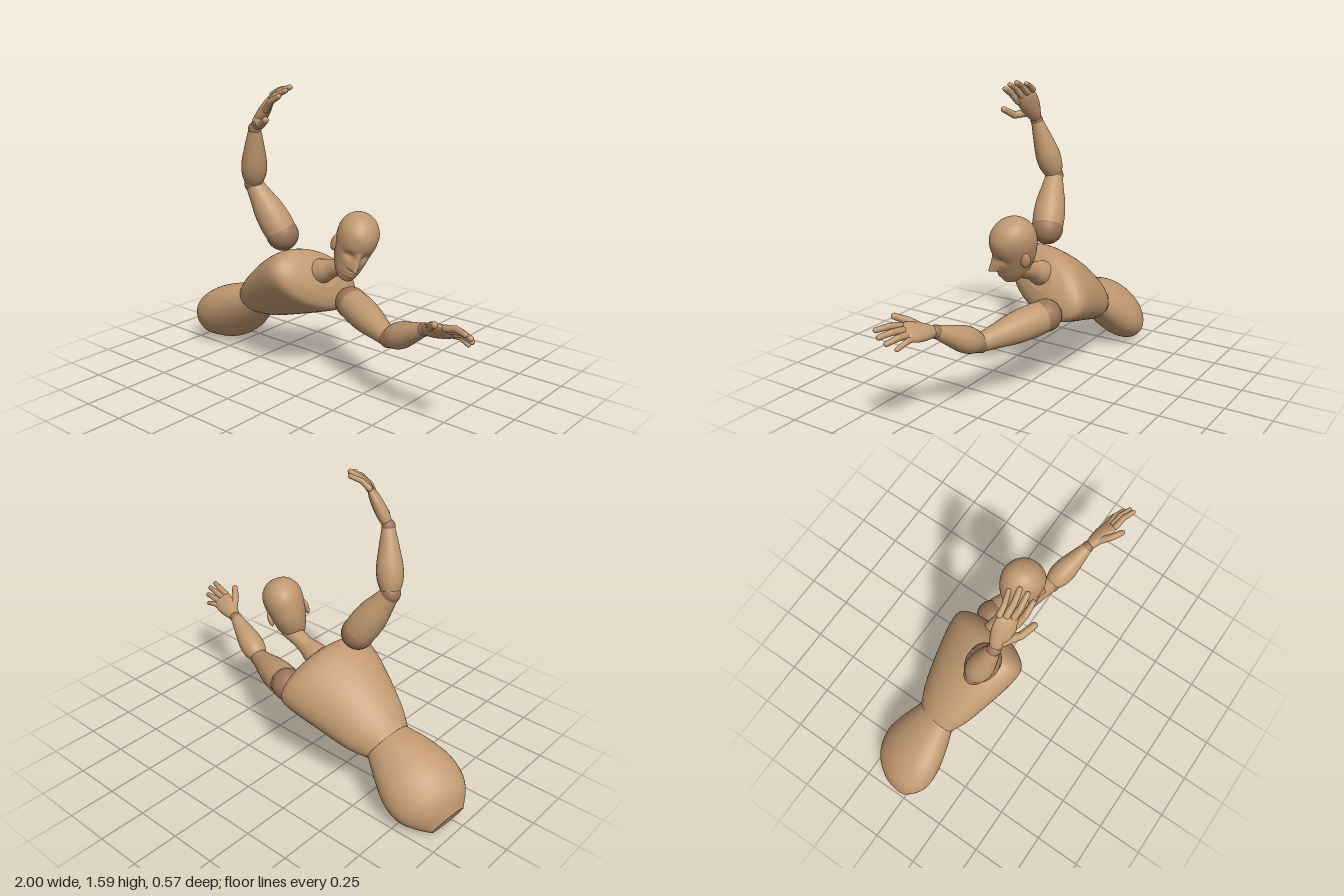
import * as THREE from 'three';

const wood = new THREE.MeshStandardMaterial({ color: 0xc09870 });
wood.name = 'light wood';
const jointWood = new THREE.MeshStandardMaterial({ color: 0x9c7458 });
jointWood.name = 'joint wood';

const V = (a) => new THREE.Vector3(...a);

function part(parent, name, geometry, material = wood) {
  const mesh = new THREE.Mesh(geometry, material);
  mesh.name = name;
  parent.add(mesh);
  return mesh;
}

function ball(parent, name, at, r, material = jointWood) {
  const mesh = part(parent, name, new THREE.SphereGeometry(r, 28, 18), material);
  mesh.position.set(...at);
  return mesh;
}

// Smooth body through elliptical sections [cx, cy, cz, halfWidth, halfDepth], with crisp flat ends
function loft(sections, X, Z, steps = 36, sides = 48) {
  const centres = new THREE.CatmullRomCurve3(sections.map((s) => V(s.slice(0, 3))), false, 'catmullrom', 0.5);
  const sizes = new THREE.CatmullRomCurve3(sections.map((s) => new THREE.Vector3(s[3], s[4], 0)), false, 'catmullrom', 0.5);
  const pos = [], index = [];
  const ring = (t) => {
    const c = centres.getPoint(t), s = sizes.getPoint(t), start = pos.length / 3;
    for (let j = 0; j < sides; j++) {
      const a = (j / sides) * Math.PI * 2;
      const p = c.clone().addScaledVector(X, s.x * Math.sin(a)).addScaledVector(Z, s.y * Math.cos(a));
      pos.push(p.x, p.y, p.z);
    }
    return start;
  };
  for (let i = 0; i <= steps; i++) ring(i / steps);
  for (let i = 0; i < steps; i++) {
    for (let j = 0; j < sides; j++) {
      const k = (j + 1) % sides, a = i * sides, b = a + sides;
      index.push(a + j, a + k, b + j, a + k, b + k, b + j);
    }
  }
  for (const t of [0, 1]) {
    const start = ring(t), centre = pos.length / 3;
    pos.push(...centres.getPoint(t).toArray());
    for (let j = 0; j < sides; j++) {
      const k = (j + 1) % sides;
      if (t) index.push(centre, start + j, start + k);
      else index.push(centre, start + k, start + j);
    }
  }
  const g = new THREE.BufferGeometry();
  g.setAttribute('position', new THREE.Float32BufferAttribute(pos, 3));
  g.setIndex(index);
  g.computeVertexNormals();
  return g;
}

// Turned piece between two points; profile holds [fraction of length, radius]
function limb(parent, name, from, to, profile, sides = 28) {
  const a = V(from), d = V(to).sub(a), len = d.length();
  const curve = new THREE.SplineCurve(profile.map(([t, r]) => new THREE.Vector2(r, t * len)));
  const pts = curve.getPoints(20).map((p) => new THREE.Vector2(Math.max(p.x, 0), p.y));
  const mesh = part(parent, name, new THREE.LatheGeometry(pts, sides));
  mesh.position.copy(a);
  mesh.quaternion.setFromUnitVectors(new THREE.Vector3(0, 1, 0), d.normalize());
  return mesh;
}

function finger(parent, name, points, r) {
  points.forEach((p, i) => {
    const r0 = r * (1 - 0.13 * i), r1 = r * (1 - 0.13 * (i + 1));
    ball(parent, name + 'Knuckle', p, r0, wood);
    if (i < points.length - 1) limb(parent, name, p, points[i + 1], [[0, r0], [0.5, (r0 + r1) / 2], [1, r1]], 14);
  });
}

function arm(side, a) {
  const g = new THREE.Group();
  g.name = side + 'Arm';
  ball(g, 'shoulderBall', a.shoulder, 0.086);
  limb(g, 'upperArm', a.shoulder, a.elbow, [[0.07, 0.084], [0.25, 0.086], [0.5, 0.079], [0.75, 0.062], [0.97, 0.048]]);
  ball(g, 'elbowBall', a.elbow, 0.05);
  limb(g, 'forearm', a.elbow, a.wrist, [[0.05, 0.05], [0.2, 0.064], [0.4, 0.066], [0.7, 0.05], [0.97, 0.033]]);
  ball(g, 'wristBall', a.wrist, 0.034);

  // Palm spans from the wrist to the finger roots
  const [first, , , last] = a.roots.map(V);
  const end = first.clone().add(last).multiplyScalar(0.5);
  const w = V(a.wrist), U = end.clone().sub(w).normalize();
  const X = first.clone().sub(last);
  X.addScaledVector(U, -X.dot(U)).normalize();
  const Z = X.clone().cross(U);
  const section = (t, hw, hd) => [...w.clone().lerp(end, t).toArray(), hw, hd];
  part(g, 'palm', loft([section(0.08, 0.028, 0.026), section(0.35, 0.044, 0.032), section(0.7, 0.056, 0.03),
    section(1, 0.054, 0.021), section(1.1, 0.035, 0.01)], X, Z, 18, 28));

  // Fingers arch gently over the back of the hand
  ['index', 'middle', 'ring', 'little'].forEach((n, i) => {
    const root = V(a.roots[i]), tip = V(a.tips[i]);
    const mid = root.clone().lerp(tip, 0.5).addScaledVector(Z, 0.012);
    finger(g, n + 'Finger', [root, mid, tip].map((p) => p.toArray()), i === 3 ? 0.0155 : 0.018);
  });
  finger(g, 'thumb', a.thumb, 0.022);
  return g;
}

function head() {
  const g = new THREE.Group();
  g.name = 'head';
  // Rows: height, half width, back, front
  const rows = [[-0.183, 0.022, 0.035, 0.085], [-0.168, 0.048, -0.01, 0.103], [-0.125, 0.07, -0.06, 0.113],
    [-0.07, 0.086, -0.096, 0.115], [-0.02, 0.097, -0.113, 0.116], [0.04, 0.105, -0.123, 0.122],
    [0.09, 0.1, -0.115, 0.112], [0.13, 0.077, -0.088, 0.08], [0.153, 0.046, -0.055, 0.044], [0.163, 0.004, -0.008, 0]];
  const skull = loft(rows.map(([y, w, b, f]) => [0, y, (b + f) / 2, w, (f - b) / 2]),
    new THREE.Vector3(1, 0, 0), new THREE.Vector3(0, 0, 1), 90, 96);
  // Press in the eye sockets, raise the nose and lips
  const p = skull.attributes.position;
  const bump = (d, s) => Math.exp(-((d / s) ** 2));
  for (let i = 0; i < p.count; i++) {
    const x = p.getX(i), y = p.getY(i), z = p.getZ(i);
    if (z < 0.03) continue;
    const socket = bump(Math.abs(x) - 0.042, 0.026) * bump(y + 0.022, 0.02);
    const slope = (0.012 - y) / 0.09;
    const nose = slope > 0 ? Math.min(slope, 1) * bump(x, 0.014 + 0.006 * slope) * (y < -0.078 ? bump(y + 0.078, 0.012) : 1) : 0;
    const mouth = bump(x, 0.03) * (0.008 * bump(y + 0.112, 0.009) + 0.008 * bump(y + 0.131, 0.008));
    p.setZ(i, z - 0.017 * socket + 0.05 * nose + mouth);
  }
  skull.computeVertexNormals();
  part(g, 'skull', skull);
  for (const s of [-1, 1]) {
    const ear = ball(g, s > 0 ? 'leftEar' : 'rightEar', [s * 0.098, -0.03, -0.012], 1, wood);
    ear.scale.set(0.014, 0.042, 0.026);
    ear.rotation.set(-0.15, s * -0.25, 0);
  }
  const L = V([0.55, -0.27, -0.79]).normalize();
  const F = V([0.72, -0.31, 0.62]);
  F.addScaledVector(L, -F.dot(L)).normalize();
  g.quaternion.setFromRotationMatrix(new THREE.Matrix4().makeBasis(L, F.clone().cross(L), F));
  g.position.set(0.175, 0.81, -0.012);
  return g;
}

export function createModel() {
  const model = new THREE.Group();
  model.name = 'posedMannequin';

  // Trunk leans forward with the chest turned down
  const L = V([0.3, -0.41, -0.86]).normalize();
  const F = V([0.342, -0.795, 0.5]).normalize();
  part(model, 'chest', loft([[-0.56, 0.33, -0.06, 0.13, 0.085], [-0.47, 0.375, -0.055, 0.178, 0.117],
    [-0.33, 0.45, -0.045, 0.226, 0.146], [-0.19, 0.515, -0.035, 0.265, 0.16], [-0.1, 0.55, -0.03, 0.268, 0.157],
    [-0.06, 0.575, -0.025, 0.2, 0.12], [-0.04, 0.59, -0.022, 0.09, 0.065]], L, F));
  part(model, 'hips', loft([[-0.96, 0.066, -0.08, 0.1, 0.06], [-0.915, 0.115, -0.083, 0.16, 0.104],
    [-0.85, 0.155, -0.083, 0.2, 0.13], [-0.76, 0.213, -0.08, 0.205, 0.133],
    [-0.65, 0.28, -0.068, 0.168, 0.112], [-0.56, 0.33, -0.06, 0.126, 0.082]], L, F));

  limb(model, 'neck', [-0.06, 0.605, -0.022], [0.15, 0.69, -0.015],
    [[0, 0.068], [0.22, 0.058], [0.4, 0.047], [0.7, 0.045], [1, 0.05]]);
  model.add(head());

  model.add(arm('right', {
    shoulder: [-0.255, 0.79, 0.06], elbow: [-0.41, 1.05, 0.11], wrist: [-0.33, 1.36, 0.175],
    roots: [[-0.21, 1.47, 0.215], [-0.208, 1.5, 0.19], [-0.217, 1.522, 0.165], [-0.235, 1.535, 0.14]],
    tips: [[-0.11, 1.545, 0.23], [-0.1, 1.57, 0.193], [-0.105, 1.582, 0.155], [-0.135, 1.577, 0.118]],
    thumb: [[-0.29, 1.405, 0.2], [-0.22, 1.395, 0.245], [-0.16, 1.43, 0.272]],
  }));
  model.add(arm('left', {
    shoulder: [0.065, 0.43, -0.125], elbow: [0.43, 0.372, 0.03], wrist: [0.685, 0.505, 0.1],
    roots: [[0.85, 0.575, 0.175], [0.86, 0.56, 0.152], [0.855, 0.54, 0.13], [0.84, 0.522, 0.112]],
    tips: [[0.975, 0.588, 0.21], [0.988, 0.564, 0.182], [0.975, 0.535, 0.15], [0.94, 0.502, 0.12]],
    thumb: [[0.74, 0.535, 0.135], [0.78, 0.575, 0.19], [0.825, 0.602, 0.228]],
  }));
  return model;
}
